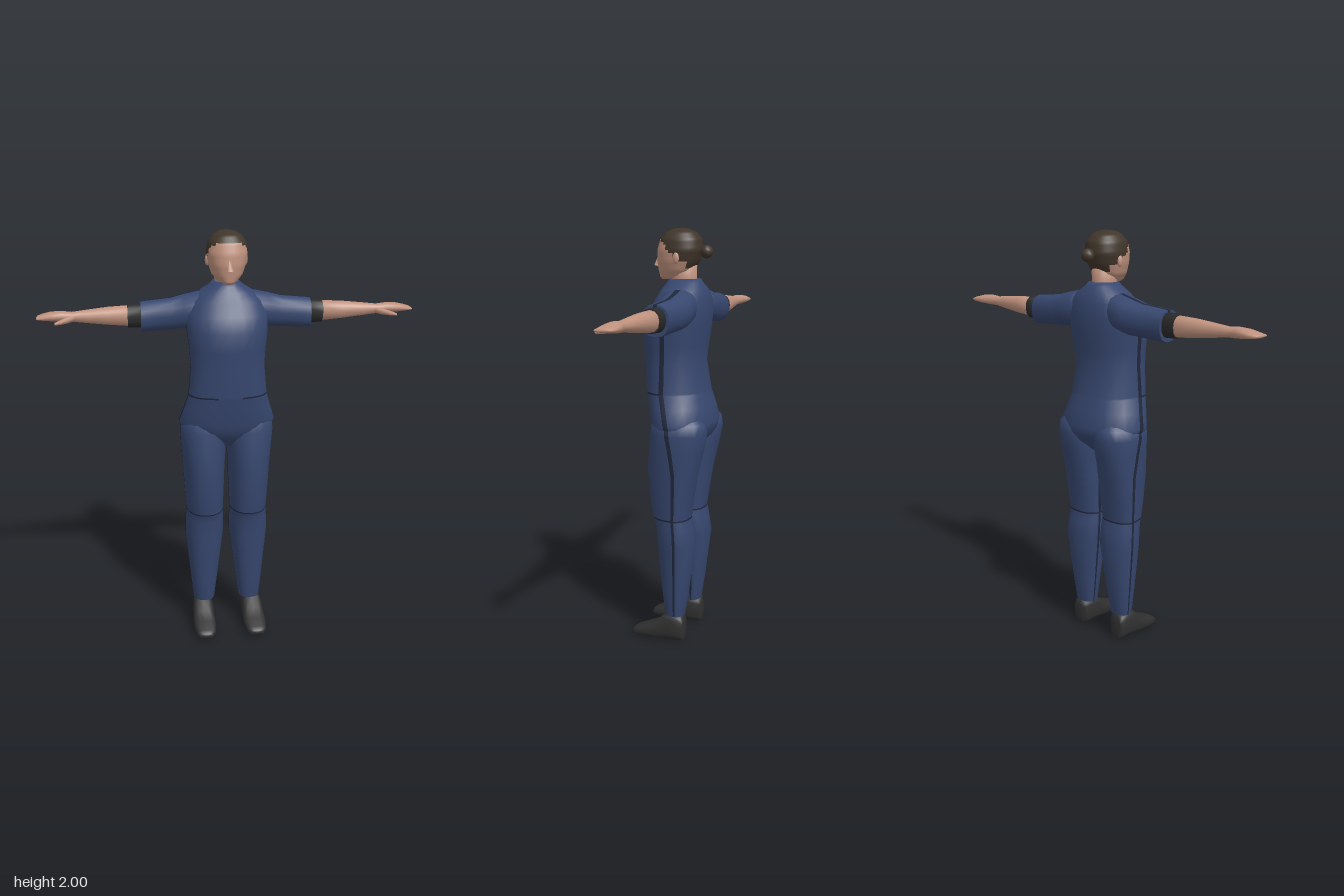
import * as THREE from 'three';

const flat = (name, color) => {
  const m = new THREE.MeshStandardMaterial({ color });
  m.name = name;
  return m;
};

// Evenly spaced angles, with a narrow pair either side of each seam angle
function angles(n, seams = [], half = 0.06) {
  const out = [];
  for (let i = 0; i < n; i++) {
    const a = (i / n) * Math.PI * 2;
    if (seams.some((s) => Math.abs(s - a) < 1e-6)) out.push(a - half, a + half);
    else out.push(a);
  }
  return out;
}

// Skin a row of oval rings along an axis w. Each ring is [w, u0, u1, v0, v1, vMid?].
// Axis y uses u = x, v = z; axis x uses u = z, v = y; axis z uses u = y, v = x.
function loft(name, axis, rings, materials, opt = {}) {
  const { side = 1, power = 2, ang = angles(16), pick = () => 0 } = opt;
  const n = ang.length, pos = [], buckets = materials.map(() => []);
  const put = (w, u, v) => {
    const p = axis === 'y' ? [u, w, v] : axis === 'x' ? [w, v, u] : [v, u, w];
    pos.push(p[0] * side, p[1], p[2]);
  };
  const bend = (c) => Math.sign(c) * Math.abs(c) ** (2 / power);
  for (const [w, u0, u1, v0, v1, vm = (v0 + v1) / 2] of rings) {
    for (const a of ang) {
      const c = bend(Math.cos(a)), s = bend(Math.sin(a));
      put(w, (u0 + u1) / 2 + c * (u1 - u0) / 2, vm + s * (s > 0 ? v1 - vm : vm - v0));
    }
  }
  const tri = (m, a, b, c) => buckets[m].push(...(side > 0 ? [a, b, c] : [a, c, b]));
  const last = rings.length - 1;
  for (let i = 0; i < last; i++) {
    for (let j = 0; j < n; j++) {
      const a = i * n + j, b = i * n + (j + 1) % n, c = a + n, d = b + n;
      const mid = [0, 1, 2].map((k) => (pos[a * 3 + k] + pos[b * 3 + k] + pos[c * 3 + k] + pos[d * 3 + k]) / 4);
      const m = pick(mid, (ang[j] + (j + 1 < n ? ang[j + 1] : ang[0] + Math.PI * 2)) / 2);
      tri(m, a, c, b);
      tri(m, b, c, d);
    }
  }
  for (const end of [0, last]) {
    const [w, u0, u1, v0, v1] = rings[end], centre = pos.length / 3;
    put(w, (u0 + u1) / 2, (v0 + v1) / 2);
    const m = pick(pos.slice(-3), -1);
    for (let j = 0; j < n; j++) {
      const a = end * n + j, b = end * n + (j + 1) % n;
      if (end) tri(m, centre, b, a);
      else tri(m, centre, a, b);
    }
  }
  const g = new THREE.BufferGeometry();
  g.setAttribute('position', new THREE.Float32BufferAttribute(pos, 3));
  g.setIndex(buckets.flat());
  let start = 0;
  buckets.forEach((b, m) => {
    if (b.length) g.addGroup(start, b.length, m);
    start += b.length;
  });
  g.computeVertexNormals();
  const mesh = new THREE.Mesh(g, materials);
  mesh.name = name;
  return mesh;
}

// Insert k straight steps between neighbouring rings
function refine(rings, k) {
  const out = [];
  for (let i = 0; i + 1 < rings.length; i++) {
    for (let s = 0; s < k; s++) out.push(rings[i].map((v, q) => v + (rings[i + 1][q] - v) * s / k));
  }
  return [...out, rings[rings.length - 1]];
}

export function createModel() {
  const navy = flat('navy cloth', 0x37476f);
  const seam = flat('dark seam', 0x20273a);
  const skin = flat('skin', 0xc0927e);
  const hair = flat('hair', 0x40352a);
  const trim = flat('cuff', 0x2b2b2b);
  const leather = flat('shoe leather', 0x303030);
  const model = new THREE.Group();
  model.name = 'figure';
  const body = new THREE.Group();
  body.name = 'body';
  body.position.x = -0.012;
  model.add(body);

  const PI = Math.PI;
  const near = (a, b) => a >= 0 || a > -0.5 ? Math.abs(a - b) < 0.03 || Math.abs(a - b - 2 * PI) < 0.03 : false;

  // Torso: [half width, back, front, side seam] at each height
  const torso = [
    [0.97, 0.06, -0.1, 0.03, -0.03], [1.02, 0.17, -0.155, 0.075, -0.03], [1.06, 0.218, -0.18, 0.098, -0.025],
    [1.1, 0.232, -0.187, 0.108, -0.02], [1.17, 0.208, -0.172, 0.125, 0], [1.236, 0.188, -0.153, 0.136, 0.018],
    [1.244, 0.187, -0.151, 0.139, 0.019], [1.38, 0.175, -0.127, 0.148, 0.018], [1.46, 0.18, -0.137, 0.154, 0.014],
    [1.55, 0.19, -0.15, 0.162, 0.01], [1.62, 0.192, -0.155, 0.124, -0.01], [1.68, 0.172, -0.15, 0.095, -0.03],
    [1.72, 0.128, -0.137, 0.075, -0.035], [1.75, 0.078, -0.117, 0.055, -0.035], [1.768, 0.062, -0.107, 0.043, -0.035],
  ].map(([y, x, b, f, m]) => [y, -x, x, b, f, m]);
  body.add(loft('torso', 'y', torso, [navy, seam], {
    power: 2.25, ang: angles(24, [0, PI]),
    pick: ([x, y, z], a) => {
      const stripe = y > 1.03 && y < 1.6 && (near(a, 0) || near(a, PI));
      const waist = y > 1.236 && y < 1.244 && z > 0.02 && Math.abs(x) > 0.07;
      return stripe || waist ? 1 : 0;
    },
  }));

  // Neck and head, with the hair divided off by a sloping hairline
  body.add(loft('neck', 'y', [[1.7, -0.056, 0.056, -0.095, 0.03], [1.77, -0.055, 0.055, -0.088, 0.04],
    [1.84, -0.06, 0.06, -0.088, 0.04]], [skin]));
  const head = [
    [1.765, 0.03, 0.02, 0.085], [1.775, 0.048, -0.01, 0.093], [1.805, 0.072, -0.07, 0.097], [1.85, 0.087, -0.1, 0.103],
    [1.9, 0.095, -0.117, 0.1], [1.95, 0.088, -0.11, 0.086], [1.98, 0.066, -0.085, 0.062], [1.995, 0.04, -0.055, 0.03],
    [2.0, 0.015, -0.03, 0.005],
  ].map(([y, x, b, f]) => [y, -x, x, b, f, -0.005]);
  body.add(loft('head', 'y', refine(head, 4), [skin, hair], {
    power: 2.2, ang: angles(36),
    pick: ([x, y, z]) => {
      const line = y > 1.95 ? 0.2 : y > 1.85 ? -0.025 + (y - 1.85) * 0.95 : -0.06;
      return y > 1.815 && z < line ? 1 : 0;
    },
  }));
  const nose = new THREE.Mesh(new THREE.ConeGeometry(0.017, 0.06, 6), skin);
  nose.name = 'nose';
  nose.position.set(0, 1.856, 0.104);
  nose.rotation.x = -0.2;
  body.add(nose);
  const bun = new THREE.Mesh(new THREE.SphereGeometry(0.031, 12, 8), hair);
  bun.name = 'hairBun';
  bun.position.set(0, 1.893, -0.138);
  body.add(bun);

  for (const side of [1, -1]) {
    const label = side > 0 ? 'left' : 'right';
    const ear = new THREE.Mesh(new THREE.SphereGeometry(1, 8, 6), skin);
    ear.name = label + 'Ear';
    ear.scale.set(0.01, 0.027, 0.016);
    ear.position.set(side * 0.09, 1.865, -0.02);
    body.add(ear);

    // Short sleeve with a seam along the top, then its cuff
    body.add(loft(label + 'Sleeve', 'x', [
      [0.06, -0.11, 0.04, 1.6, 1.735], [0.13, -0.14, 0.05, 1.56, 1.722], [0.2, -0.14, 0.035, 1.545, 1.706],
      [0.26, -0.125, 0.022, 1.541, 1.69], [0.4, -0.116, 0.02, 1.533, 1.677], [0.401, -0.113, 0.017, 1.536, 1.674],
      [0.4, -0.1, 0.002, 1.552, 1.66],
    ], [navy, seam], {
      side, power: 2.3, ang: angles(16, [PI / 2], 0.1),
      pick: (p, a) => (near(a, PI / 2) ? 1 : 0),
    }));
    body.add(loft(label + 'Cuff', 'x', [
      [0.38, -0.1, 0.002, 1.553, 1.667], [0.46, -0.099, 0, 1.556, 1.665], [0.461, -0.097, -0.002, 1.558, 1.663],
      [0.46, -0.09, -0.01, 1.565, 1.655],
    ], [trim], { side, power: 2.3 }));

    // Bare forearm, flat hand and thumb
    const reach = side > 0 ? 1.03 : 0.98;
    const stretch = (rings) => rings.map(([x, ...r]) => [0.45 + (x - 0.45) * reach, ...r]);
    body.add(loft(label + 'ForearmAndHand', 'x', stretch([
      [0.44, -0.095, -0.004, 1.56, 1.66], [0.55, -0.088, -0.005, 1.57, 1.655], [0.65, -0.076, -0.009, 1.582, 1.645],
      [0.72, -0.068, -0.012, 1.591, 1.637], [0.77, -0.077, -0.006, 1.592, 1.642], [0.82, -0.091, 0, 1.597, 1.638],
      [0.86, -0.088, 0, 1.602, 1.628], [0.88, -0.075, 0, 1.606, 1.622], [0.885, -0.055, -0.004, 1.609, 1.618],
    ]), [skin], { side, ang: angles(12), power: 2.2 }));
    body.add(loft(label + 'Thumb', 'x', stretch([
      [0.7, -0.04, -0.015, 1.598, 1.625], [0.74, -0.03, 0.012, 1.59, 1.62], [0.775, -0.002, 0.03, 1.588, 1.61],
      [0.8, 0.02, 0.037, 1.59, 1.602],
    ]), [skin], { side, ang: angles(8) }));

    // Trouser leg with side seams and a knee seam
    body.add(loft(label + 'Leg', 'y', [
      [0.128, 0.068, 0.165, -0.07, 0.015, -0.04], [0.13, 0.064, 0.169, -0.075, 0.022, -0.04],
      [0.25, 0.048, 0.182, -0.093, 0.036, -0.045], [0.5, 0.016, 0.206, -0.124, 0.06, -0.055],
      [0.58, 0.016, 0.204, -0.11, 0.066, -0.05], [0.625, 0.018, 0.199, -0.101, 0.08, -0.045],
      [0.633, 0.018, 0.199, -0.101, 0.086, -0.045], [0.72, 0.014, 0.206, -0.113, 0.097, -0.05],
      [0.86, 0.009, 0.214, -0.137, 0.11, -0.055], [0.97, 0.002, 0.222, -0.165, 0.1, -0.04],
      [1.05, -0.005, 0.227, -0.182, 0.092, -0.025], [1.1, 0.01, 0.222, -0.175, 0.085, -0.02],
      [1.16, 0.05, 0.17, -0.12, 0.06, -0.01],
    ], [navy, seam], {
      side, power: 2.2, ang: angles(20, [0, PI]),
      pick: ([x, y], a) => ((y > 0.625 && y < 0.633) || (y > 0.13 && near(a, 0)) || (y < 0.95 && near(a, PI)) ? 1 : 0),
    }));

    // Shoe, heel to toe
    body.add(loft(label + 'Shoe', 'z', [
      [-0.08, 0.005, 0.11, 0.095, 0.155], [-0.07, 0, 0.135, 0.08, 0.17], [-0.02, 0, 0.145, 0.075, 0.176],
      [0.02, 0, 0.13, 0.074, 0.18], [0.06, 0, 0.09, 0.073, 0.183], [0.12, 0, 0.063, 0.072, 0.184],
      [0.17, 0, 0.042, 0.082, 0.176], [0.188, 0.003, 0.03, 0.1, 0.16],
    ], [leather], { side, power: 2.8 }));
  }
  return model;
}
